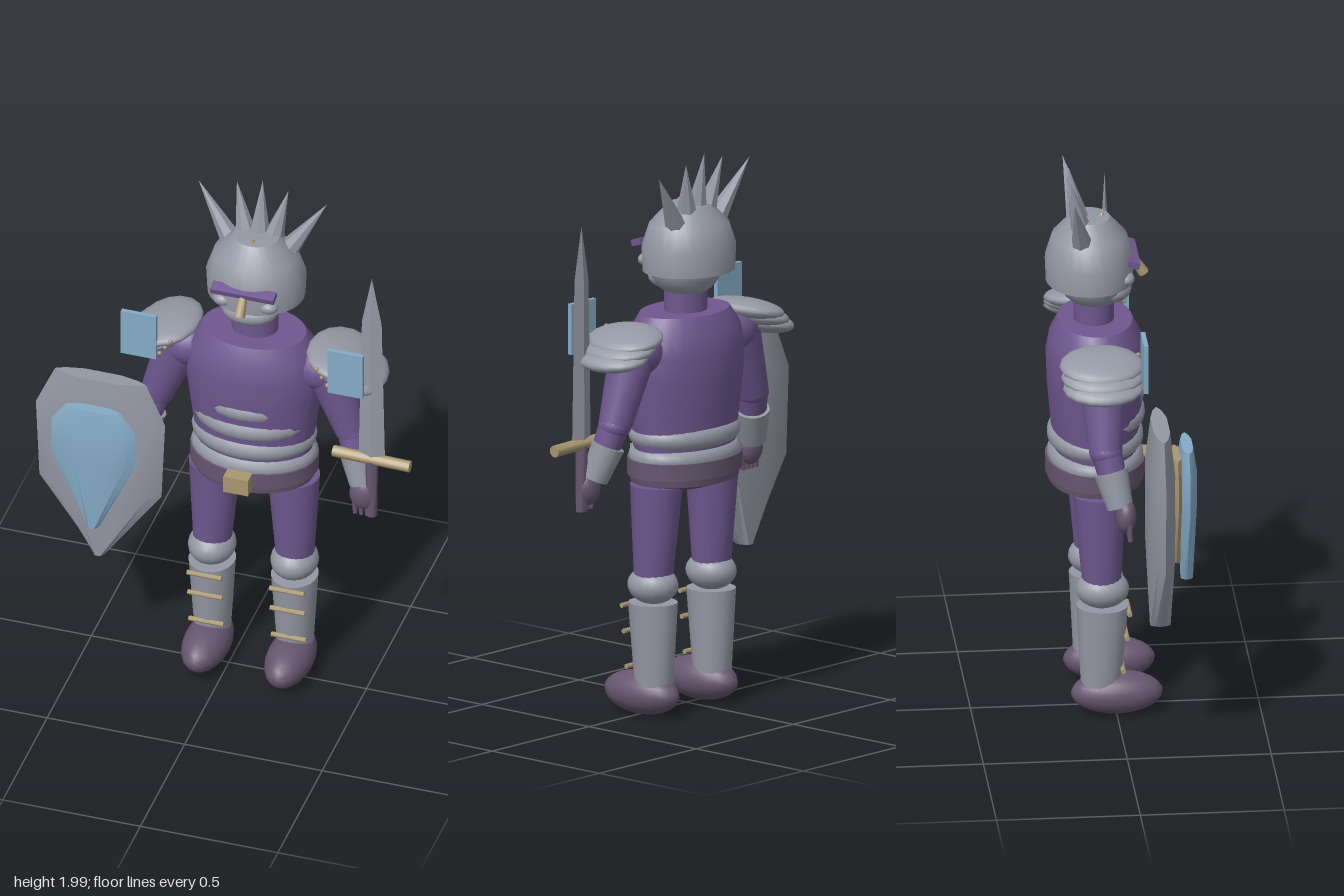
import * as THREE from 'three';
import { toCreasedNormals } from 'three/addons/utils/BufferGeometryUtils.js';

const mat = (name, color) => {
  const m = new THREE.MeshStandardMaterial({ color });
  m.name = name;
  return m;
};
const V = (x, y, z) => new THREE.Vector3(x, y, z);

export function createModel() {
  const root = new THREE.Group();
  root.name = 'armouredWarrior';
  const steel = mat('steel', 0x9498a4);
  const cloth = mat('purpleCloth', 0x6e578f);
  const leather = mat('darkLeather', 0x66566f);
  const brass = mat('brass', 0xa8976f);
  const blue = mat('blueEnamel', 0x84abc7);
  const CX = 0.074, CZ = -0.06; // body axis

  const add = (name, geo, material, x = 0, y = 0, z = 0, parent = root) => {
    const m = new THREE.Mesh(geo, material);
    m.name = name;
    m.position.set(x, y, z);
    parent.add(m);
    return m;
  };
  const ball = (name, material, x, y, z, rx, ry, rz, parent = root, seg = 20) => {
    const m = add(name, new THREE.SphereGeometry(1, seg, 14), material, x, y, z, parent);
    m.scale.set(rx, ry, rz);
    return m;
  };
  // tapered limb from point a (radius ra) to point b (radius rb)
  const limb = (name, material, a, b, ra, rb, parent = root, seg = 18) => {
    const d = b.clone().sub(a);
    const geo = toCreasedNormals(new THREE.CylinderGeometry(rb, ra, d.length(), seg), 0.8);
    const m = add(name, geo, material, 0, 0, 0, parent);
    m.position.copy(a).addScaledVector(d, 0.5);
    m.quaternion.setFromUnitVectors(V(0, 1, 0), d.normalize());
    return m;
  };
  const turned = (name, material, pts, depth, z = CZ, crease = 0.7) => {
    const geo = new THREE.LatheGeometry(pts.map(p => new THREE.Vector2(...p)), 28);
    const m = add(name, toCreasedNormals(geo, crease), material, CX, 0, z);
    m.scale.z = depth;
    return m;
  };

  // torso, pelvis and neck
  turned('torso', cloth, [[0, 0.84], [0.2, 0.84], [0.208, 0.95], [0.225, 1.08], [0.24, 1.2],
    [0.245, 1.3], [0.228, 1.37], [0.185, 1.43], [0, 1.43]], 0.7);
  turned('pelvis', leather, [[0, 0.8], [0.12, 0.81], [0.215, 0.835], [0.222, 0.87], [0.2, 0.9], [0, 0.9]], 0.76);
  turned('belt', leather, [[0, 0.86], [0.228, 0.86], [0.228, 0.92], [0, 0.92]], 0.76);
  add('buckle', new THREE.BoxGeometry(0.09, 0.065, 0.05), brass, CX, 0.892, 0.13);
  turned('neck', cloth, [[0.082, 1.4], [0.082, 1.55]], 0.86, -0.065);

  // rounded waist plates
  [[0.925, 0.225, 0.74, CZ], [1.0, 0.223, 0.75, CZ], [1.085, 0.214, 0.76, -0.05], [1.165, 0.187, 0.82, -0.04]]
    .forEach(([y, r, d, z], i) => turned('waistPlate' + (i + 1), steel, [[0, y - 0.035], [r - 0.02, y - 0.033],
      [r - 0.004, y - 0.018], [r, y], [r - 0.004, y + 0.018], [r - 0.02, y + 0.033], [0, y + 0.035]], d, z, 1));

  // head
  ball('head', steel, CX, 1.6, -0.065, 0.132, 0.125, 0.13);
  ball('jaw', steel, CX, 1.545, -0.005, 0.1, 0.048, 0.072);
  turned('helmet', steel, [[0, 1.578], [0.172, 1.575], [0.176, 1.66], [0.148, 1.742],
    [0.08, 1.81], [0, 1.816]], 0.88, -0.08, 0.6);
  add('visorBar', new THREE.BoxGeometry(0.23, 0.022, 0.04), cloth, CX, 1.665, 0.066).rotation.x = 0.3;
  limb('noseGuard', brass, V(CX, 1.68, 0.05), V(CX, 1.59, 0.11), 0.014, 0.02, root, 8);
  limb('crownStud', brass, V(CX, 1.8, -0.04), V(CX, 1.822, -0.035), 0.014, 0.004, root, 8);
  for (const s of [-1, 1]) {
    ball('cheek', steel, CX + s * 0.083, 1.605, 0.04, 0.035, 0.024, 0.03);
    ball('eye', leather, CX + s * 0.055, 1.645, 0.055, 0.02, 0.01, 0.015);
  }
  // crest of five spikes
  [[-0.105, 1.75, -0.234, 1.945], [-0.05, 1.785, -0.094, 1.972], [0, 1.79, 0, 1.995],
    [0.05, 1.785, 0.094, 1.972], [0.105, 1.75, 0.234, 1.945]].forEach(([x0, y0, x1, y1], i) => {
    const a = V(CX + x0, y0, -0.115), d = V(CX + x1, y1, -0.152).sub(a);
    const geo = new THREE.ConeGeometry(0.038, d.length(), 7).toNonIndexed();
    geo.computeVertexNormals();
    const m = add('crestSpike' + (i + 1), geo, steel);
    m.position.copy(a).addScaledVector(d, 0.5);
    m.quaternion.setFromUnitVectors(V(0, 1, 0), d.normalize());
  });

  // paired limbs and armour: s = 1 is the left side
  for (const s of [-1, 1]) {
    const side = new THREE.Group();
    side.name = s > 0 ? 'leftLimbs' : 'rightLimbs';
    side.position.x = CX;
    root.add(side);
    const P = (x, y, z) => V(s * x, y, z);

    // leg
    limb('thigh', cloth, P(0.15, 0.5, -0.05), P(0.143, 0.83, -0.058), 0.068, 0.092, side);
    ball('kneeGuard', steel, s * 0.15, 0.473, -0.048, 0.084, 0.067, 0.093, side);
    limb('greave', steel, P(0.15, 0.12, -0.053), P(0.15, 0.412, -0.048), 0.064, 0.082, side).scale.z = 1.1;
    ball('boot', leather, s * 0.151, 0.084, 0.002, 0.082, 0.076, 0.16, side);
    [[0.395, 0.042], [0.305, 0.033], [0.182, 0.02]].forEach(([y, z]) =>
      limb('greaveStrap', brass, P(0.087, y, z), P(0.213, y, z), 0.009, 0.009, side, 8));

    // arm
    ball('shoulder', cloth, s * 0.24, 1.32, CZ, 0.1, 0.085, 0.09, side);
    limb('upperArm', cloth, P(0.26, 1.34, CZ), P(0.355, 1.07, -0.055), 0.085, 0.058, side);
    ball('elbow', cloth, s * 0.355, 1.075, -0.055, 0.058, 0.05, 0.058, side);
    limb('forearm', cloth, P(0.355, 1.08, -0.055), P(0.395, 0.93, -0.02), 0.054, 0.045, side);
    limb('bracer', steel, P(0.373, 1.005, -0.04), P(0.408, 0.885, -0.01), 0.06, 0.046, side);
    ball('hand', leather, s * 0.418, 0.855, 0.01, 0.05, 0.062, 0.036, side);
    for (let i = 0; i < 4; i++) {
      const x = 0.388 + i * 0.022;
      limb('finger', leather, P(x, 0.84, 0.018), P(x + 0.004, 0.775, 0.022), 0.011, 0.008, side, 8);
    }

    // layered pauldron, its rivets and the upright shoulder plate
    for (let i = 0; i < 3; i++) {
      const x = 0.312 + i * 0.032;
      ball('pauldronPlate' + (i + 1), steel, s * x, 1.378 - i * 0.028, -0.065,
        0.118 - i * 0.006, 0.038, 0.147 - i * 0.003, side, 16).rotation.z = -s * 0.2;
      ball('rivet', brass, s * (0.265 + i * 0.02), 1.395 - i * 0.03, 0.066, 0.008, 0.008, 0.008, side, 8);
    }
    add('shoulderPlate', new THREE.BoxGeometry(0.128, 0.18, 0.016), blue, s * 0.376, 1.41, 0.078, side);
  }

  // shield slabs: lens-shaped sections stacked along y, rows are [y, half width]
  const slab = (name, material, rows, thick, x, z) => {
    const lens = [[1, 0], [0.8, 0.55], [0.4, 1], [-0.4, 1], [-0.8, 0.55],
      [-1, 0], [-0.8, -0.55], [-0.4, -1], [0.4, -1], [0.8, -0.55]];
    const n = lens.length, pos = [], idx = [];
    rows.forEach(([y, w, t = 1]) => lens.forEach(([u, v]) => pos.push(u * w, y, v * thick * t)));
    for (let j = 0; j < rows.length - 1; j++) {
      for (let i = 0; i < n; i++) {
        const a = j * n + i, b = j * n + (i + 1) % n;
        idx.push(a, a + n, b, b, a + n, b + n);
      }
    }
    const top = (rows.length - 1) * n;
    for (let i = 1; i < n - 1; i++) idx.push(0, i, i + 1, top, top + i + 1, top + i);
    const geo = new THREE.BufferGeometry();
    geo.setAttribute('position', new THREE.Float32BufferAttribute(pos, 3));
    geo.setIndex(idx);
    return add(name, toCreasedNormals(geo, 0.6), material, x, 0, z);
  };
  slab('shield', steel, [[0.48, 0.025, 0.8], [0.76, 0.222], [1.07, 0.235], [1.228, 0.165, 0.65]], 0.044, -0.428, 0.121);
  slab('shieldBacking', brass, [[0.72, 0.03], [0.93, 0.118], [1.06, 0.12], [1.12, 0.08]], 0.02, -0.428, 0.175);
  slab('shieldBoss', blue, [[0.652, 0.022, 0.7], [0.94, 0.152], [1.08, 0.152], [1.155, 0.1, 0.65]], 0.03, -0.425, 0.213);

  // sword held upright in the left hand
  const sword = new THREE.Group();
  sword.name = 'sword';
  sword.position.set(0.524, 0, 0.014);
  root.add(sword);
  const bladePts = [[0, 1.02], [0.048, 1.02], [0.036, 1.6], [0, 1.79]].map(p => new THREE.Vector2(...p));
  const blade = add('blade', toCreasedNormals(new THREE.LatheGeometry(bladePts, 4, Math.PI / 2), 0.2), steel, 0, 0, 0, sword);
  blade.scale.z = 0.3;
  limb('crossGuard', brass, V(-0.14, 1.018, 0), V(0.14, 1.012, 0), 0.021, 0.021, sword, 12);
  limb('grip', leather, V(0, 0.775, 0), V(0, 1.01, 0), 0.02, 0.022, sword, 12);

  return root;
}
